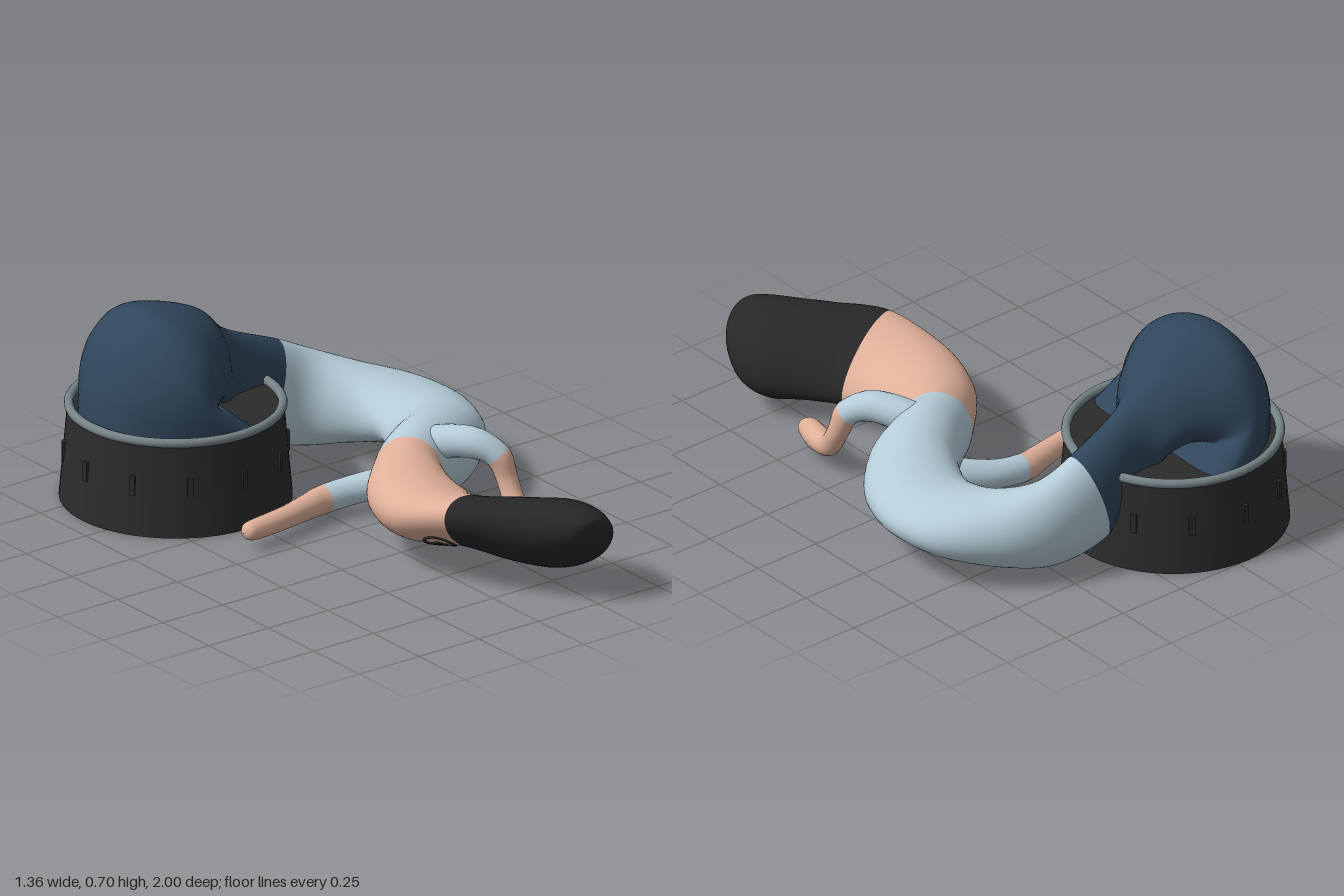
import * as THREE from 'three';

const mat = (name, color) => new THREE.MeshStandardMaterial({ name, color });

// Cross-sections: centre xyz, side half-axis xyz, up half-axis xyz, optional bend of the sides
const TROUSERS = [
  [-.415, .30, -.61, 0, 0, .35, -.225, 0, 0, .75],
  [-.425, .42, -.61, 0, 0, .32, -.185, .05, 0, .4],
  [-.39, .485, -.61, 0, 0, .295, -.14, .135, 0, .15],
  [-.305, .515, -.61, 0, 0, .25, -.108, .185, 0, 0],
  [-.175, .465, -.625, 0, 0, .165, -.025, .18, 0, 0],
  [-.065, .355, -.645, 0, 0, .09, .005, .172, 0, 0],
];
const SHIRT = [
  [.125, .25, -.665, 0, 0, .094, .055, .17, 0],
  [.28, .195, -.637, -.04, 0, .095, .03, .163, 0],
  [.40, .18, -.545, -.085, 0, .098, .01, .137, 0],
  [.48, .18, -.42, -.155, 0, .068, 0, .112, 0],
  [.497, .18, -.29, -.178, 0, 0, 0, .1, 0],
  [.455, .175, -.16, -.155, 0, -.07, 0, .115, 0],
  [.37, .18, -.05, -.115, 0, -.1, 0, .145, 0],
  [.26, .185, .02, -.1, 0, -.09, 0, .155, 0],
];
const HEAD = [
  [.155, .185, .085, -.085, 0, -.085, 0, .138, 0],
  [.06, .185, .22, -.135, .01, -.06, .01, .115, 0],
  [.025, .185, .38, -.172, .035, 0, .02, .103, 0],
  [.06, .20, .56, -.16, .085, .06, .035, .08, -.01],
  [.15, .197, .70, -.15, .075, .075, .035, .105, 0],
  [.23, .195, .80, -.155, .055, .075, .02, .125, .02],
  [.258, .20, .875, -.145, .045, .045, .01, .118, .03],
  [.265, .213, .945, -.105, .03, .025, 0, .092, .03],
  [.267, .225, .978, -.06, .015, .01, 0, .058, .018],
  [.267, .23, .994, -.001, 0, 0, 0, .001, 0],
];

// Smooth point on a skin stretched over the sections
function surfacePoint(keys, u, a, swell = 1) {
  const last = keys.length - 1;
  const i = Math.min(Math.floor(u), last - 1), t = u - i;
  const k = (n, j) => keys[Math.max(0, Math.min(last, n))][j] ?? 0;
  const v = Array.from({ length: 10 }, (_, j) => {
    const p0 = k(i - 1, j), p1 = k(i, j), p2 = k(i + 1, j), p3 = k(i + 2, j);
    return p1 + 0.5 * t * (p2 - p0 + t * (2 * p0 - 5 * p1 + 4 * p2 - p3 + t * (3 * (p1 - p2) + p3 - p0)));
  });
  const c = Math.cos(a) * swell, s = Math.sin(a) * swell - v[9] * c * c;
  return new THREE.Vector3(v[0] + v[3] * c + v[6] * s, v[1] + v[4] * c + v[7] * s, v[2] + v[5] * c + v[8] * s);
}

// Lofts the sections and cuts the skin into coloured parts: [name, material, endKey]
function loft(keys, parts, sides, steps) {
  const rows = (keys.length - 1) * steps, pos = [], group = new THREE.Group();
  for (let r = 0; r <= rows; r++)
    for (let s = 0; s < sides; s++)
      pos.push(...surfacePoint(keys, r / steps, s / sides * Math.PI * 2).toArray());
  const strip = (from, to) => {
    const idx = [];
    for (let r = from; r < to; r++)
      for (let s = 0; s < sides; s++) {
        const n = (s + 1) % sides, a = r * sides + s, b = r * sides + n;
        idx.push(a, a + sides, b, b, a + sides, b + sides);
      }
    return idx;
  };
  const whole = new THREE.BufferGeometry();
  whole.setAttribute('position', new THREE.Float32BufferAttribute(pos, 3));
  whole.setIndex(strip(0, rows));
  whole.computeVertexNormals();
  let from = 0;
  for (const [name, material, endKey] of parts) {
    const g = whole.clone();
    g.setIndex(strip(from, endKey * steps));
    from = endKey * steps;
    const mesh = new THREE.Mesh(g, material);
    mesh.name = name;
    group.add(mesh);
  }
  return group;
}

// Round limb sections from [x, y, z, radius] points
function limbKeys(points, ref) {
  const at = points.map((p) => new THREE.Vector3(p[0], p[1], p[2]));
  return points.map((p, i) => {
    const T = at[Math.min(i + 1, at.length - 1)].clone().sub(at[Math.max(i - 1, 0)]).normalize();
    const S = T.clone().cross(ref).normalize(), U = S.clone().cross(T);
    return [...at[i].toArray(), ...S.multiplyScalar(p[3]).toArray(), ...U.multiplyScalar(p[3]).toArray()];
  });
}

export function createModel() {
  const model = new THREE.Group();
  const navy = mat('navy cloth', 0x30465b), pale = mat('pale blue cloth', 0xb5ccd8);
  const skin = mat('skin', 0xdfb09a), black = mat('black', 0x272727);
  const dark = mat('dark bin', 0x2b2b2b), grey = mat('grey rim', 0x758286);
  const add = (parent, name, geometry, material, x = 0, y = 0, z = 0) => {
    const m = new THREE.Mesh(geometry, material);
    m.name = name;
    m.position.set(x, y, z);
    parent.add(m);
    return m;
  };

  // Bin with rim and twelve ribs
  const bin = new THREE.Group();
  bin.name = 'bin';
  bin.position.set(-.29, 0, -.61);
  add(bin, 'binBody', new THREE.CylinderGeometry(.362, .39, .32, 64), dark, 0, .16, 0);
  add(bin, 'binRim', new THREE.TorusGeometry(.357, .016, 12, 64), grey, 0, .33, 0).rotation.x = Math.PI / 2;
  for (let i = 0; i < 12; i++) {
    const a = i * Math.PI / 6;
    add(bin, 'binRib', new THREE.BoxGeometry(.02, .07, .016), dark,
      Math.sin(a) * .374, .175, Math.cos(a) * .374).rotation.y = a;
  }
  model.add(bin);

  // Long bent body
  const bodyKeys = [...TROUSERS, ...SHIRT, ...HEAD];
  const neck = TROUSERS.length + SHIRT.length;
  const body = loft(bodyKeys, [['trousers', navy, TROUSERS.length], ['shirt', pale, neck],
    ['face', skin, neck + 3], ['hair', black, bodyKeys.length - 1]], 48, 10);
  body.name = 'body';
  model.add(body);

  // Arms
  const rightArm = loft(limbKeys([
    [.25, .11, -.05, .055], [.1, .08, -.125, .05], [-.02, .067, -.145, .049], [-.1, .065, -.13, .044],
    [-.2, .065, -.105, .039], [-.3, .065, -.088, .037], [-.375, .065, -.08, .034], [-.402, .065, -.078, .024],
    [-.412, .065, -.077, .001],
  ], new THREE.Vector3(0, 1, 0)), [['rightSleeve', pale, 2], ['rightHand', skin, 8]], 20, 6);
  rightArm.name = 'rightArm';
  const leftArm = loft(limbKeys([
    [.26, .26, .05, .06], [.305, .285, .13, .057], [.35, .288, .205, .053], [.395, .25, .265, .045],
    [.41, .17, .295, .037], [.405, .095, .345, .038], [.38, .07, .43, .043], [.357, .065, .505, .038],
    [.35, .06, .54, .025], [.347, .06, .553, .001],
  ], new THREE.Vector3(1, 0, 0)), [['leftSleeve', pale, 3], ['leftHand', skin, 9]], 20, 6);
  leftArm.name = 'leftArm';
  model.add(rightArm, leftArm);

  // Inked face on the underside: eyes and a wavy mouth
  const ink = (name, path, n) => {
    const pts = Array.from({ length: n + 1 }, (_, i) => surfacePoint(bodyKeys, ...path(i / n), 1.01));
    add(model, name, new THREE.TubeGeometry(new THREE.CatmullRomCurve3(pts), 60, .005, 6), black);
  };
  const turn = Math.PI * 2;
  ink('eyeOutline', (t) => [neck + 2.6 + .25 * Math.cos(t * turn), -1.3 + .36 * Math.sin(t * turn)], 24);
  ink('pupil', (t) => [neck + 2.55 + .1 * t * Math.cos(t * turn * 2), -1.35 + .13 * t * Math.sin(t * turn * 2)], 24);
  ink('mouth', (t) => [neck + .9 + 1.3 * t, -1.75 + .2 * Math.sin(t * turn * 2.5)], 36);
  ink('secondEye', (t) => [neck + .25 + .12 * t * Math.cos(t * turn * 2), -2.75 + .2 * t * Math.sin(t * turn * 2)], 24);

  return model;
}
